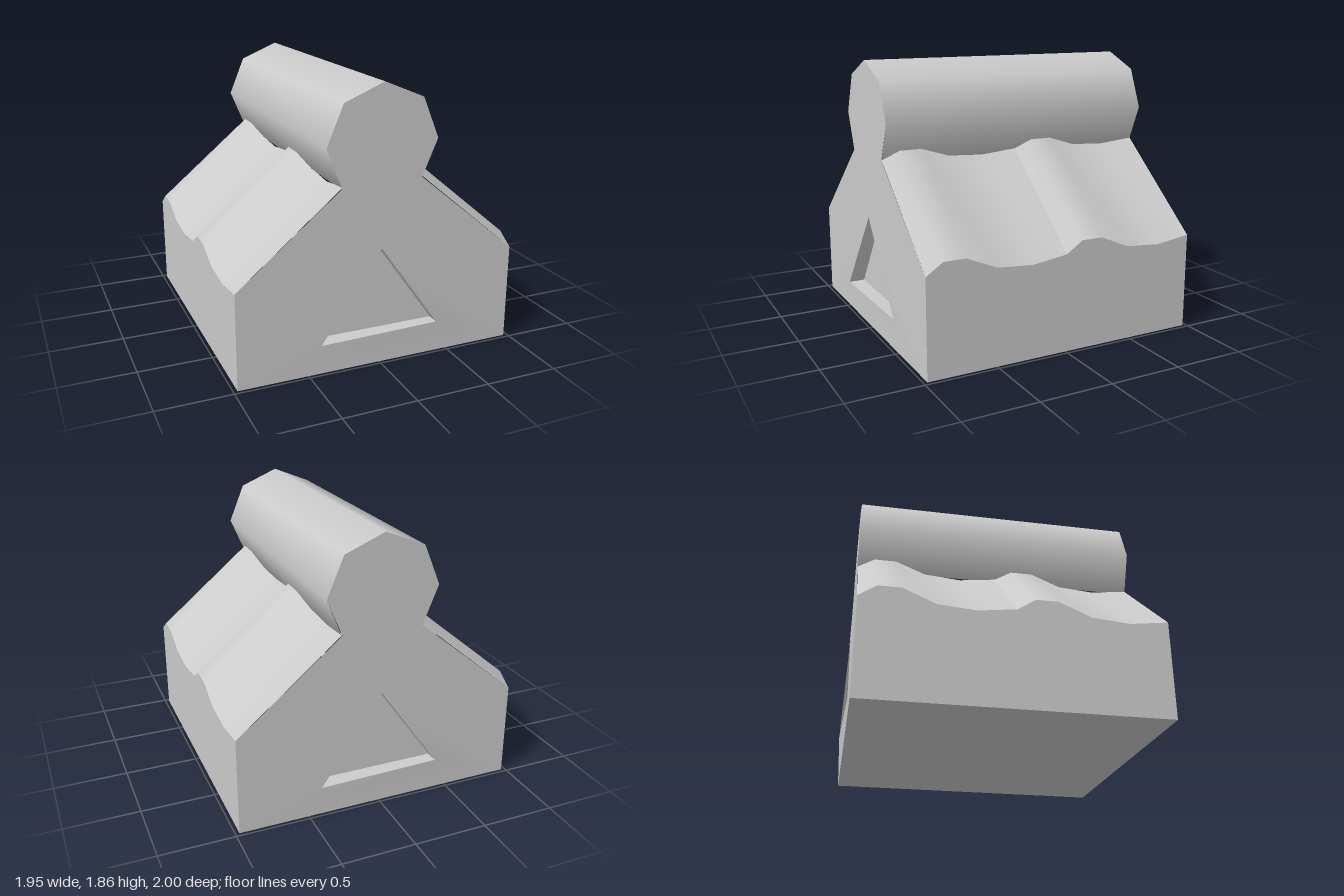
import * as THREE from 'three';

const W = 0.973, D = 0.975;      // half width and half depth of the body
const NECK = 0.27, RISE = 0.585; // roof run-in under the ridge and its climb
const TILT = 0.015;              // one roof side sits slightly lower
const RIDGE_Y = 1.48, RIDGE_R = 0.38;
// one period of the roof wave: [z, eave height]
const WAVE = [[D, 0.663], [0.86, 0.74], [0.71, 0.74], [0.5, 0.65], [0.25, 0.63], [0, 0.663]];
const TRI = [[-0.42, 0.21, 1.0], [0.42, 0.21, 0.978], [0, 0.8, 0.98]];

const material = new THREE.MeshStandardMaterial({ color: 0xcccccc });

function addMesh(parent, name, geometry) {
  const mesh = new THREE.Mesh(geometry, material);
  mesh.name = name;
  parent.add(mesh);
  return mesh;
}

// Surface ruled between two rows of points
function strip(a, b, flat = false) {
  let g = new THREE.BufferGeometry();
  g.setAttribute('position', new THREE.Float32BufferAttribute([...a, ...b].flat(), 3));
  const n = a.length, index = [];
  for (let i = 0; i < n - 1; i++) index.push(i, i + 1, n + i, i + 1, n + i + 1, n + i);
  g.setIndex(index);
  if (flat) g = g.toNonIndexed();
  g.computeVertexNormals();
  return g;
}

// Wavy roof slope and the wall below it
function buildSide(drop) {
  const side = new THREE.Group();
  for (const shift of [0, -D]) {
    const rows = WAVE.map(([z, h]) => [z + shift, h - drop]);
    const eave = rows.map(([z, h]) => [W, h, z]);
    const top = rows.map(([z, h]) => [NECK, h + RISE, z]);
    const foot = rows.map(([z]) => [W, 0, z]);
    addMesh(side, 'wavyRoof', strip(eave, top));
    addMesh(side, 'sideWall', strip(foot, eave));
  }
  return side;
}

// End face with a bulging triangular recess
function buildEnd(rightDrop, leftDrop) {
  const end = new THREE.Group();
  const h = WAVE[0][1];
  const pts = [[-W, 0], [W, 0], [W, h - rightDrop], [NECK + 0.005, h + RISE - rightDrop - 0.01]];
  for (let i = 0; i <= 4; i++) {
    const a = i * Math.PI / 4;
    pts.push([RIDGE_R * Math.cos(a), RIDGE_Y + RIDGE_R * Math.sin(a)]);
  }
  pts.push([-NECK - 0.005, h + RISE - leftDrop - 0.01], [-W, h - leftDrop]);
  const shape = new THREE.Shape(pts.map(p => new THREE.Vector2(...p)));
  shape.holes.push(new THREE.Path(TRI.map(([x, y]) => new THREE.Vector2(x, y)).reverse()));
  const face = new THREE.ShapeGeometry(shape);
  const pos = face.attributes.position;
  for (let i = 0; i < pos.count; i++) {
    const corner = TRI.find(([x, y]) => Math.hypot(pos.getX(i) - x, pos.getY(i) - y) < 0.001);
    pos.setZ(i, corner ? corner[2] : D);
  }
  face.computeVertexNormals();
  addMesh(end, 'endFace', face);

  // recess walls and floor
  const rim = [...TRI, TRI[0]];
  const inner = rim.map(([x, y]) => [x, y, 0.89]);
  addMesh(end, 'recessWalls', strip(rim, inner, true));
  const floor = new THREE.Shape(TRI.map(([x, y]) => new THREE.Vector2(x, y)));
  addMesh(end, 'recessFloor', new THREE.ShapeGeometry(floor)).position.z = 0.89;
  return end;
}

export function createModel() {
  const model = new THREE.Group();
  model.name = 'ridgedBlock';

  // roof sides, the second turned half way round
  const left = buildSide(0);
  left.name = 'leftSide';
  const right = buildSide(TILT);
  right.name = 'rightSide';
  right.rotation.y = Math.PI;

  // end faces
  const front = buildEnd(0, TILT);
  front.name = 'frontEnd';
  const back = buildEnd(TILT, 0);
  back.name = 'backEnd';
  back.rotation.y = Math.PI;
  model.add(left, right, front, back);

  // eight-sided ridge bar, open where it joins the body
  const bar = new THREE.CylinderGeometry(RIDGE_R, RIDGE_R, 2 * D, 6, 1, true, -Math.PI * 0.75, Math.PI * 1.5);
  bar.rotateX(Math.PI / 2);
  // turn the opening downwards
  bar.rotateZ(Math.PI);
  addMesh(model, 'ridgeBar', bar).position.y = RIDGE_Y;

  // underside
  const base = new THREE.PlaneGeometry(2 * W, 2 * D);
  base.rotateX(Math.PI / 2);
  addMesh(model, 'underside', base);
  return model;
}
